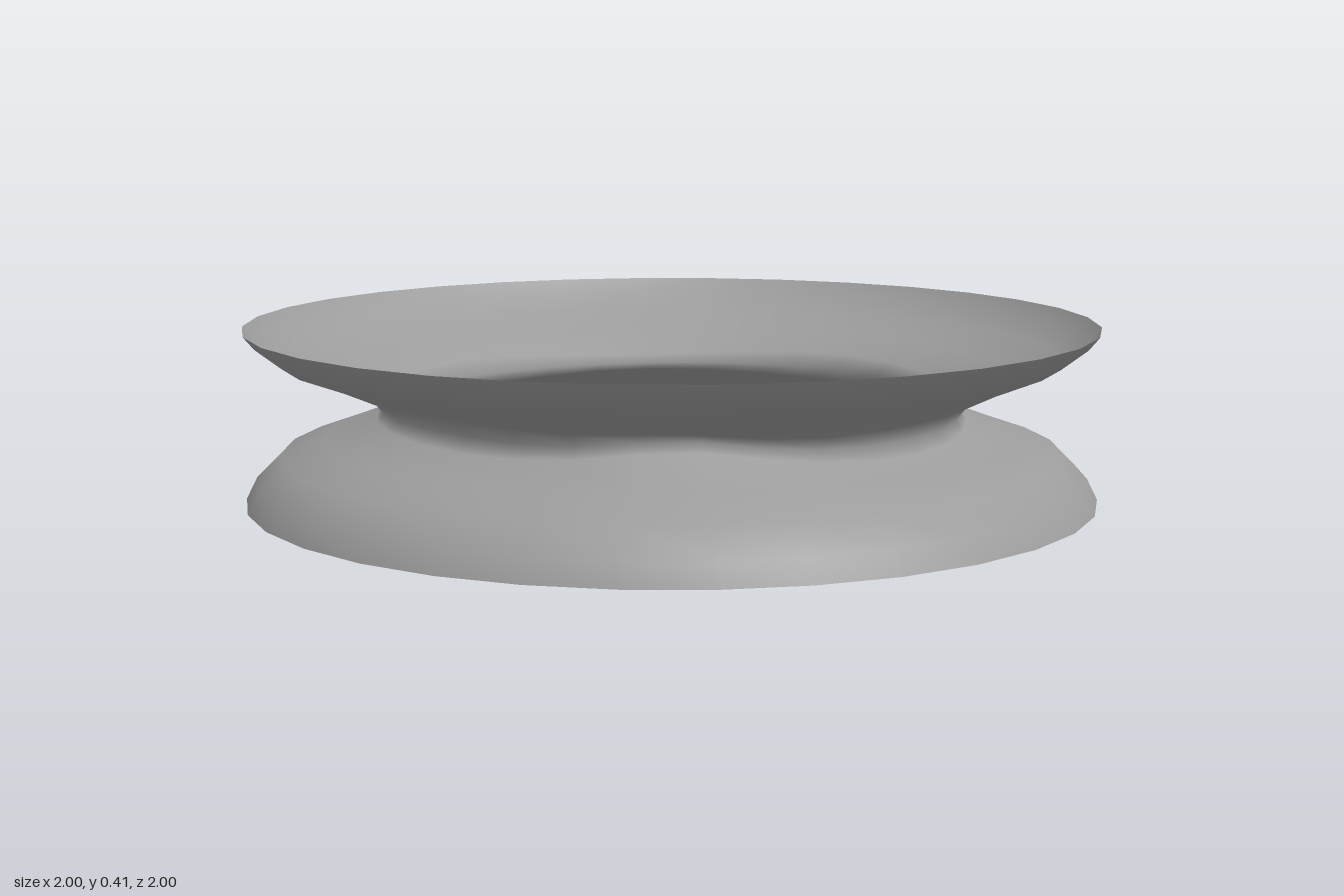
import * as THREE from 'three';
import { mergeVertices } from 'three/addons/utils/BufferGeometryUtils.js';

const bell = (a, centre, width) => Math.exp(-(((a - centre) / width) ** 2));

export function createModel() {
  const group = new THREE.Group();
  group.name = 'flaredRing';

  // Thin wall: wide rims above and below, pinched at the waist
  const waistR = 0.678, waistY = 0.212;
  const profile = [
    [1, 0], [0.975, 0.05], [0.915, 0.11], [0.81, 0.147], [0.702, 0.18], [waistR, waistY],
    [0.71, 0.25], [0.81, 0.29], [0.915, 0.33], [0.975, 0.376], [1, 0.406],
  ].map(([r, y]) => new THREE.Vector2(r, y));
  let geometry = new THREE.LatheGeometry(profile, 32);

  // Uneven waist: sharper on the diagonals, lifted at the front left, dipped at the sides
  const pos = geometry.attributes.position;
  for (let i = 0; i < pos.count; i++) {
    const a = Math.atan2(pos.getZ(i), pos.getX(i));
    let { x: r, y } = profile[i % profile.length];
    const pinch = THREE.MathUtils.clamp((0.85 - r) / 0.17, 0, 1);
    if (r < 0.75) {
      const tuck = 0.45 * Math.sin(2 * a) ** 2;
      r = THREE.MathUtils.lerp(r, waistR, tuck);
      y = THREE.MathUtils.lerp(y, waistY, tuck);
    }
    const lift = 0.028 * bell(a, 0.85, 0.3)
      + 0.003 * Math.sin(a) - 0.005 * Math.cos(a) - 0.006 * Math.cos(2 * a);
    const bulge = 0.014 * (bell(a, 1.1, 0.2) + bell(a, 2.04, 0.2));
    r += pinch * bulge;
    pos.setXYZ(i, r * Math.cos(a), y + pinch * lift, r * Math.sin(a));
  }

  // Weld the seam so the shading stays smooth all round
  geometry.deleteAttribute('uv');
  geometry.deleteAttribute('normal');
  geometry = mergeVertices(geometry, 1e-4);
  geometry.computeVertexNormals();

  const wall = new THREE.Mesh(
    geometry,
    new THREE.MeshStandardMaterial({ color: 0x9c9c9c, side: THREE.DoubleSide }),
  );
  wall.name = 'pinchedWall';
  group.add(wall);
  return group;
}
